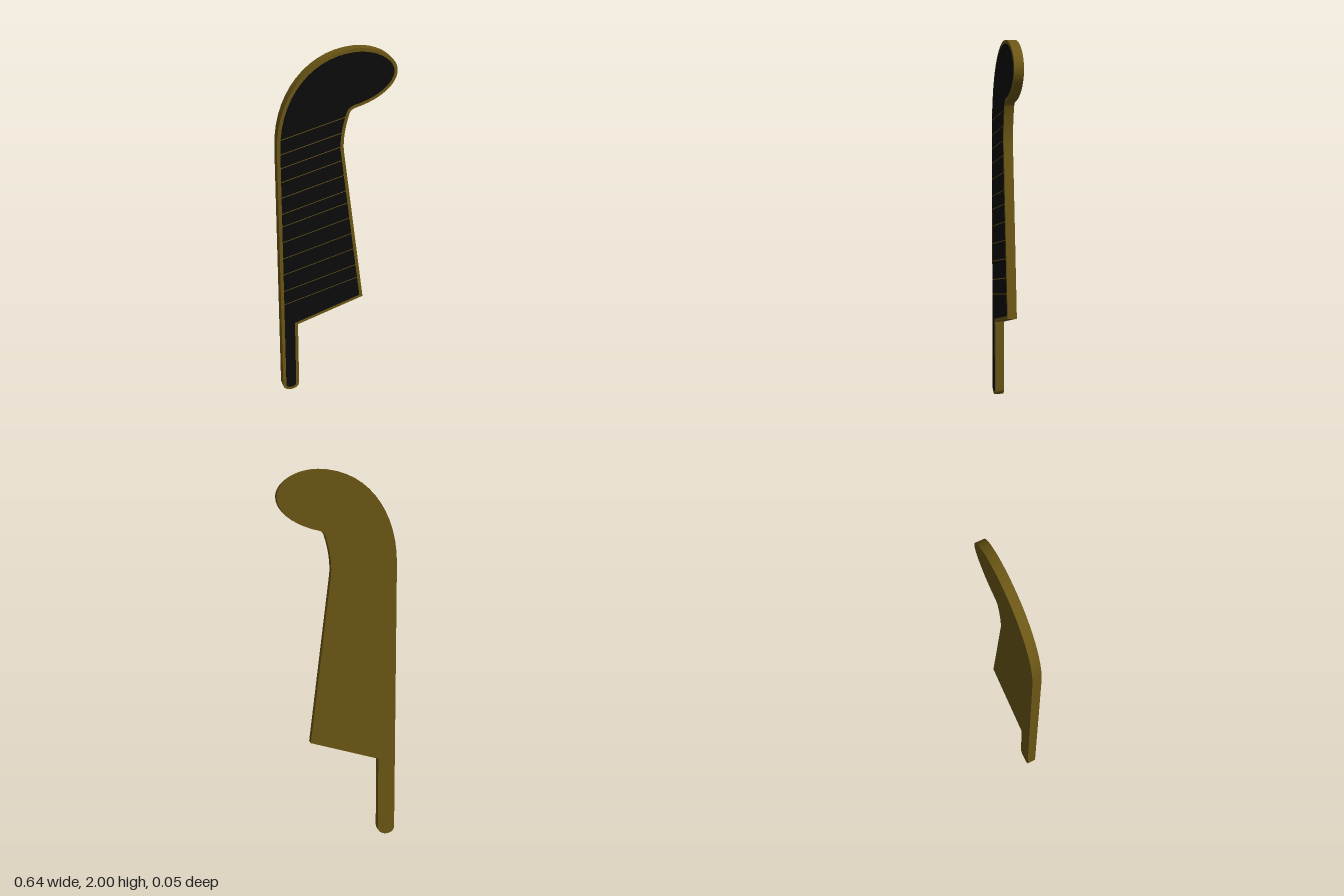
import * as THREE from 'three';
import { toCreasedNormals } from 'three/addons/utils/BufferGeometryUtils.js';

const BACK = -0.026, FACE = 0.0235, FRONT = 0.026;
const RIM = 0.018, GAP = 0.006, SLOPE = 0.235;

// Silhouette, clockwise from the foot of the straight spine
function outlinePoints() {
  const s = new THREE.Shape();
  s.moveTo(-0.32, 0.04);
  s.lineTo(-0.32, 1.5);
  s.bezierCurveTo(-0.32, 1.8, -0.14, 2, 0.095, 2);
  s.bezierCurveTo(0.22, 2, 0.32, 1.93, 0.32, 1.86);
  s.bezierCurveTo(0.32, 1.78, 0.22, 1.71, 0.1, 1.685);
  s.quadraticCurveTo(0.07, 1.677, 0.065, 1.655);
  s.bezierCurveTo(0.04, 1.58, 0.03, 1.5, 0.037, 1.444);
  s.lineTo(0.148, 0.545);
  s.lineTo(-0.227, 0.434);
  s.lineTo(-0.227, 0.04);
  s.bezierCurveTo(-0.227, -0.0133, -0.32, -0.0133, -0.32, 0.04);
  const pts = s.getPoints(14);
  if (pts[0].distanceTo(pts[pts.length - 1]) < 1e-6) pts.pop();
  return pts;
}

// Moves every corner inwards along its mitre
function inset(pts, d) {
  const n = pts.length;
  return pts.map((p, i) => {
    const a = p.clone().sub(pts[(i + n - 1) % n]).normalize();
    const b = pts[(i + 1) % n].clone().sub(p).normalize();
    const m = new THREE.Vector2(a.y + b.y, -a.x - b.x).normalize();
    return p.clone().addScaledVector(m, d / Math.max(0.4, m.x * b.y - m.y * b.x));
  });
}

// Height measured along the slanted grooves
const level = (p) => p.y - SLOPE * (p.x + 0.31);

// Keeps the part of a polygon above (sign 1) or below (sign -1) a slanted line
function clip(pts, h, sign) {
  const out = [];
  pts.forEach((p, i) => {
    const q = pts[(i + 1) % pts.length];
    const a = sign * (level(p) - h), b = sign * (level(q) - h);
    if (a >= 0) out.push(p);
    if (a * b < 0) out.push(p.clone().lerp(q, a / (a - b)));
  });
  return out;
}

function slab(pts, z0, z1, material, name) {
  const geo = new THREE.ExtrudeGeometry(new THREE.Shape(pts), { depth: z1 - z0, bevelEnabled: false });
  geo.translate(0, 0, z0);
  const mesh = new THREE.Mesh(toCreasedNormals(geo, 0.5), material);
  mesh.name = name;
  return mesh;
}

export function createModel() {
  const group = new THREE.Group();
  group.name = 'hookedBlade';
  const gold = new THREE.MeshStandardMaterial({ color: 0x6b5615 });
  const black = new THREE.MeshStandardMaterial({ color: 0x0b0b0b });

  // Gold backing plate, whose edge shows as a rim
  const outline = outlinePoints();
  group.add(slab(outline, BACK, FACE, gold, 'backPlate'));

  // Black inlay split by slanted grooves
  const grooves = [0.575, 0.66, 0.765, 0.865, 0.965, 1.06, 1.135, 1.23, 1.32, 1.4, 1.477, 1.557];
  const inner = inset(outline, RIM);
  const inlay = new THREE.Group();
  inlay.name = 'inlay';
  for (let i = 0; i <= grooves.length; i++) {
    let panel = inner;
    if (i > 0) panel = clip(panel, grooves[i - 1] + GAP / 2, 1);
    if (i < grooves.length) panel = clip(panel, grooves[i] - GAP / 2, -1);
    inlay.add(slab(panel, FACE - 0.002, FRONT, black, 'inlayPanel' + (i + 1)));
  }
  group.add(inlay);
  return group;
}
